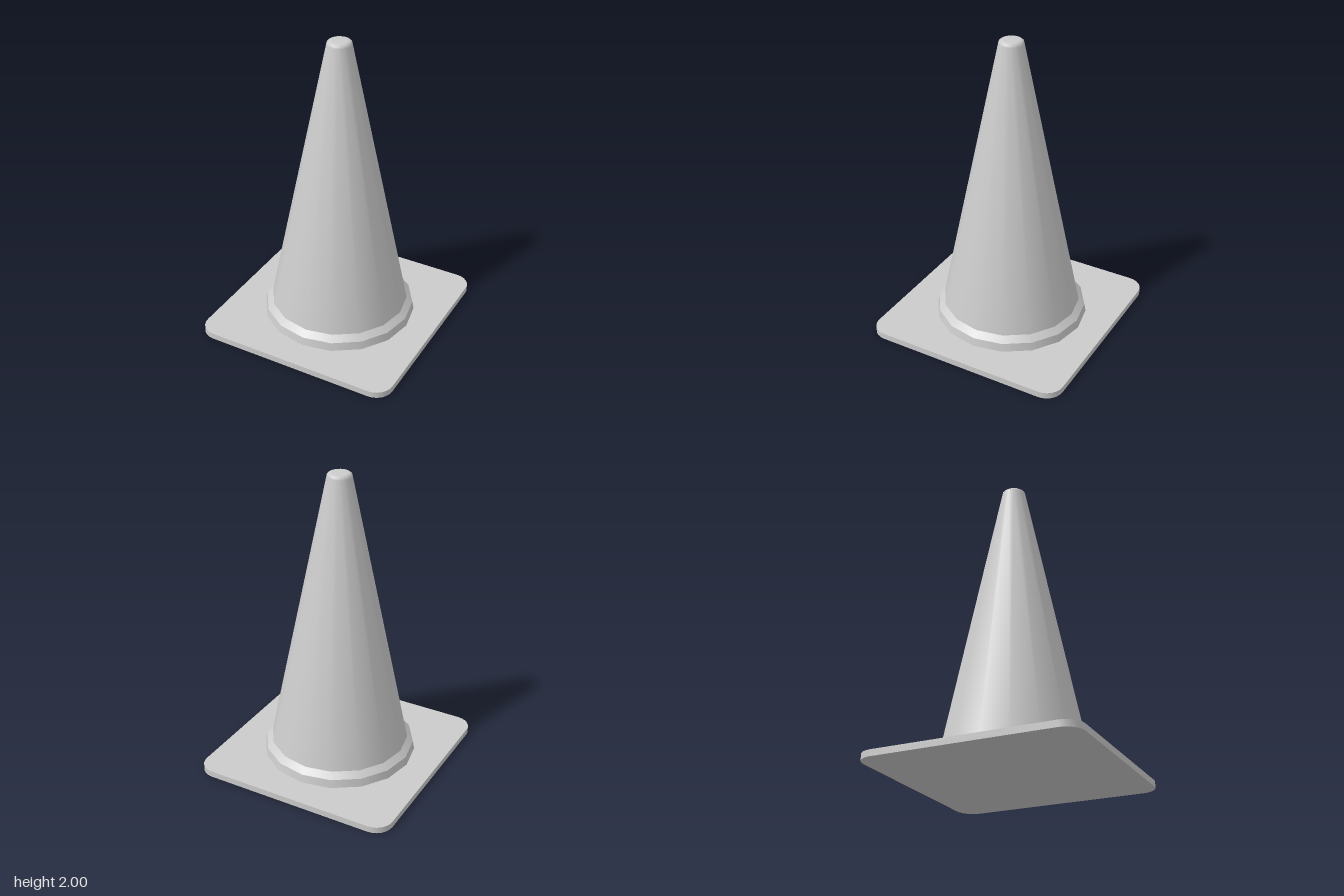
import * as THREE from 'three';
import { toCreasedNormals } from 'three/addons/utils/BufferGeometryUtils.js';

const SIDES = 16;
const BASE_HEIGHT = 0.042;

export function createModel() {
  const group = new THREE.Group();
  const material = new THREE.MeshStandardMaterial({ color: 0xcccccc });

  const add = (name, geometry) => {
    const mesh = new THREE.Mesh(geometry, material);
    mesh.name = name;
    group.add(mesh);
  };
  // Profile points are [radius, height], listed from bottom to top
  const turned = (points) =>
    new THREE.LatheGeometry(points.map(([r, y]) => new THREE.Vector2(r, y)), SIDES);

  // Square base plate with rounded corners
  const half = 0.695, radius = 0.115, c = half - radius;
  const outline = new THREE.Shape();
  [[c, c], [-c, c], [-c, -c], [c, -c]].forEach(([x, y], i) =>
    outline.absarc(x, y, radius, i * Math.PI / 2, (i + 1) * Math.PI / 2, false));
  outline.closePath();
  const plate = new THREE.ExtrudeGeometry(outline, { depth: BASE_HEIGHT, bevelEnabled: false, curveSegments: 3 });
  plate.rotateX(-Math.PI / 2);
  add('basePlate', toCreasedNormals(plate, 0.7));

  // Collar: near-vertical wall and sloped shoulder, with a sharp edge between
  add('collarWall', turned([[0.51, BASE_HEIGHT], [0.5, 0.097]]));
  add('collarShoulder', turned([[0.5, 0.097], [0.46, 0.135]]));

  // Tapered body
  add('coneBody', turned([[0.46, 0.135], [0.08, 1.975]]));

  // Softly rounded closed tip
  add('coneTip', turned([[0.08, 1.975], [0.077, 1.988], [0.066, 1.997], [0.05, 2], [0, 2]]));

  return group;
}
